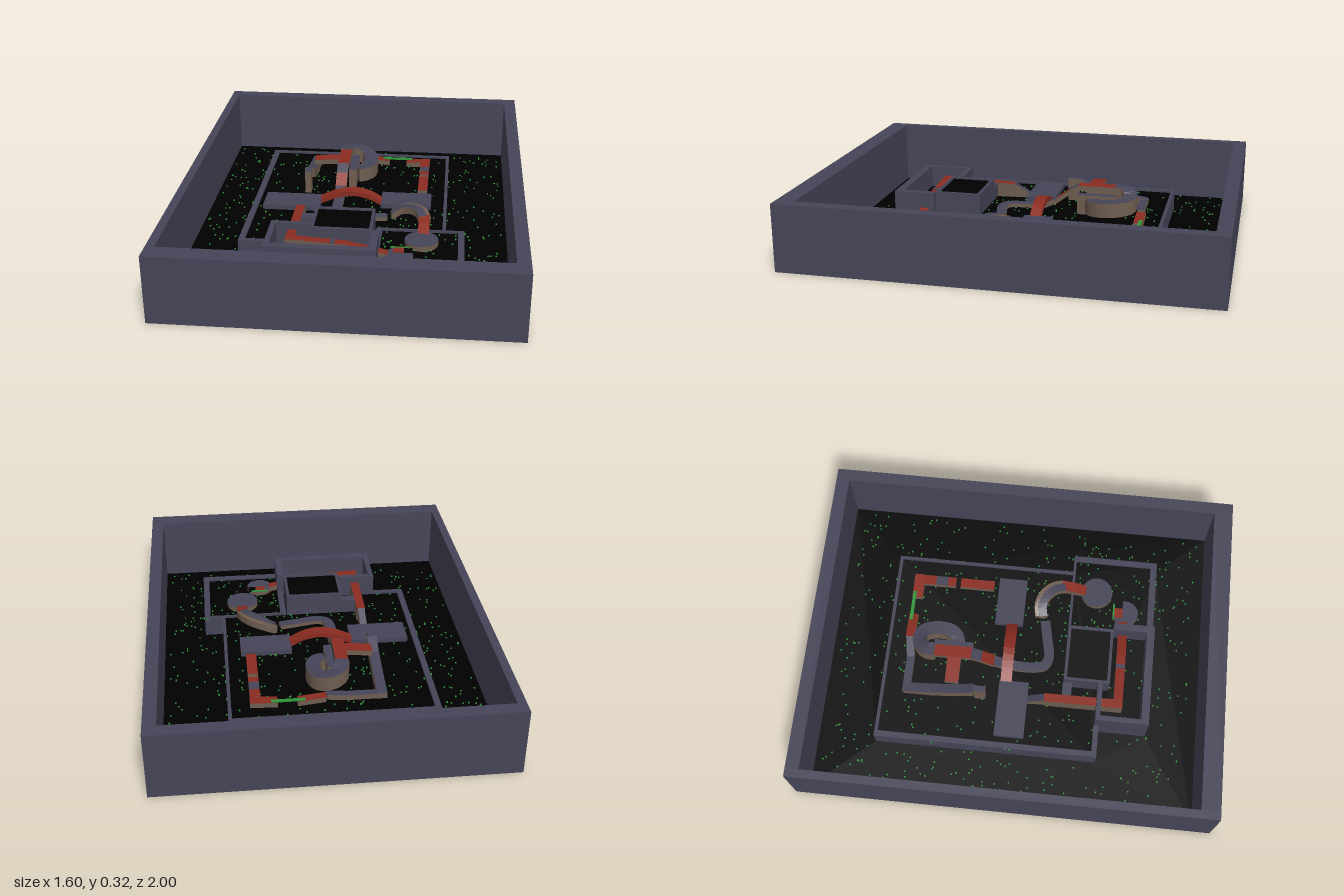
import * as THREE from 'three';
import { mergeGeometries } from 'three/addons/utils/BufferGeometryUtils.js';

const mat = (name, color, side = THREE.FrontSide) => {
  const m = new THREE.MeshStandardMaterial({ color, side });
  m.name = name;
  return m;
};

export function createModel() {
  const stone = mat('slate stone', 0x464558);
  const red = mat('red walkway', 0x8a2c20);
  const brown = mat('brown earth', 0x6f5d50);
  const black = mat('black ground', 0x000000, THREE.DoubleSide);
  const green = mat('green speckle', 0x2f963a);
  const model = new THREE.Group();
  model.name = 'walledArena';

  const add = (name, geo, material) => {
    const mesh = new THREE.Mesh(geo, material);
    mesh.name = name;
    model.add(mesh);
    return mesh;
  };
  // Box given by its limits on each axis
  const block = (name, x0, x1, y0, y1, z0, z1, material = stone) =>
    add(name, new THREE.BoxGeometry(x1 - x0, y1 - y0, z1 - z0), material)
      .position.set((x0 + x1) / 2, (y0 + y1) / 2, (z0 + z1) / 2);

  // Walkway swept along [x, top y, z] points; base is a fixed level or follows the top
  const walkway = (name, pts, width, topMat, { base = null, thick = 0.025, steps = 0, sideMat = brown } = {}) => {
    let path = pts.map(p => new THREE.Vector3(...p));
    if (steps) path = new THREE.CatmullRomCurve3(path).getPoints(steps);
    const rings = path.map((p, i) => {
      const d = path[Math.min(i + 1, path.length - 1)].clone().sub(path[Math.max(i - 1, 0)]).setY(0).normalize();
      const n = new THREE.Vector3(-d.z, 0, d.x).multiplyScalar(width / 2);
      const tl = p.clone().sub(n), tr = p.clone().add(n);
      const low = base === null ? Math.max(p.y - thick, 0.101) : base;
      return [tl, tr, tr.clone().setY(low), tl.clone().setY(low)];
    });
    const pos = [];
    const quad = (a, b, c, d) => [a, b, c, a, c, d].forEach(v => pos.push(v.x, v.y, v.z));
    const strip = k => {
      for (let i = 0; i < rings.length - 1; i++) {
        const a = rings[i], b = rings[i + 1], m = (k + 1) % 4;
        quad(a[k], a[m], b[m], b[k]);
      }
    };
    strip(0);
    const split = pos.length / 3;
    [1, 2, 3].forEach(strip);
    const s = rings[0], e = rings[rings.length - 1];
    quad(s[0], s[3], s[2], s[1]);
    quad(e[0], e[1], e[2], e[3]);
    const geo = new THREE.BufferGeometry();
    geo.setAttribute('position', new THREE.Float32BufferAttribute(pos, 3));
    geo.addGroup(0, split, 0);
    geo.addGroup(split, pos.length / 3 - split, 1);
    geo.computeVertexNormals();
    add(name, geo, [topMat, sideMat]);
  };

  // Tall outer walls
  block('outerWallLeftEdge', -0.8, -0.76, 0, 0.32, -1, 1);
  block('outerWallRightEdge', 0.74, 0.8, 0, 0.32, -1, 1);
  block('outerWallBack', -0.76, 0.74, 0, 0.32, -1, -0.935);
  block('outerWallFront', -0.76, 0.74, 0, 0.32, 0.91, 1);

  // Outer ground with an opening, and the raised ground inside the rooms
  const outline = [[-0.51, -0.65], [0.44, -0.65], [0.44, 0.24], [0.53, 0.24],
    [0.53, 0.66], [-0.35, 0.66], [-0.35, 0.42], [-0.51, 0.42]].map(([x, z]) => new THREE.Vector2(x, -z));
  const yard = new THREE.Shape([[-0.76, -0.91], [0.74, -0.91], [0.74, 0.935], [-0.76, 0.935]]
    .map(p => new THREE.Vector2(...p)));
  yard.holes.push(new THREE.Path(outline));
  const flat = (shape, y) => new THREE.ShapeGeometry(shape).rotateX(-Math.PI / 2).translate(0, y, 0);
  add('outerGround', flat(yard, 0.006), black);
  add('roomGround', flat(new THREE.Shape(outline), 0.1), black);

  // Low room walls
  const low = 0.11, high = 0.21;
  block('courtWallLeft', -0.512, -0.484, 0, low, -0.652, 0.427);
  block('courtWallBack', -0.484, 0.43, 0, low, -0.652, -0.636);
  block('courtWallRight', 0.43, 0.446, 0, low, -0.652, 0.237);
  block('courtWallFront', -0.484, -0.355, 0, low, 0.402, 0.427);
  block('rightRoomBack', 0.145, 0.535, 0, low, 0.237, 0.25);
  block('rightRoomSide', 0.505, 0.535, 0, low, 0.25, 0.66);
  block('rightRoomFront', 0.148, 0.505, 0, low, 0.628, 0.66);
  block('rightRoomDividerBack', 0.118, 0.148, 0, low, 0.237, 0.46);
  block('rightRoomDividerFront', 0.113, 0.148, 0, high, 0.46, 0.622);

  // Higher front room
  block('frontRoomSide', -0.355, -0.33, 0, high, 0.427, 0.66);
  block('frontRoomFront', -0.33, 0.148, 0, high, 0.622, 0.66);
  block('frontRoomBack', -0.355, -0.17, 0.1, high, 0.404, 0.427);

  // Raised box with a dark top inside a narrow rim
  block('boxBody', -0.168, 0.114, 0.094, 0.196, 0.237, 0.46);
  block('boxTop', -0.154, 0.1, 0.196, 0.202, 0.252, 0.446, black);
  block('boxRimLeft', -0.168, -0.154, 0.196, high, 0.237, 0.46);
  block('boxRimRight', 0.1, 0.114, 0.196, high, 0.237, 0.46);
  block('boxRimBack', -0.154, 0.1, 0.196, high, 0.237, 0.252);
  block('boxRimFront', -0.154, 0.1, 0.196, high, 0.446, 0.46);
  block('boxStep', -0.24, -0.168, 0.101, 0.17, 0.235, 0.28);

  // Platforms and drums
  block('leftPlatform', -0.455, -0.175, 0.101, 0.125, -0.075, 0.07);
  block('rightPlatform', 0.12, 0.367, 0.101, 0.125, -0.13, 0.01);
  [['largeDrum', 0.337, 0.365, 0.078, 0.125], ['smallDrum', 0.24, 0.515, 0.064, 0.122]].forEach(([name, x, z, r, top]) =>
    add(name, new THREE.CylinderGeometry(r, r, 0.06, 24), [brown, stone, brown]).position.set(x, top - 0.03, z));
  block('smallDrumRedPatch', 0.212, 0.262, 0.122, 0.127, 0.46, 0.5, red);
  block('smallDrumNotch', 0.262, 0.3, 0.121, 0.125, 0.455, 0.5, black);
  block('smallDrumGreenEdge', 0.2, 0.285, 0.122, 0.128, 0.452, 0.46, green);

  // Arched bridge between the platforms
  walkway('archBridge', [[-0.18, 0.125, -0.043], [-0.1, 0.16, -0.043], [-0.02, 0.175, -0.043],
    [0.06, 0.16, -0.043], [0.125, 0.125, -0.043]], 0.055, red, { steps: 10, sideMat: red });

  // Looping ramp, its crest and the long descent to the court
  walkway('loopRamp', [[-0.087, 0.238, -0.4], [-0.08, 0.235, -0.45], [-0.04, 0.22, -0.482], [0.015, 0.205, -0.47],
    [0.042, 0.195, -0.41], [0.038, 0.19, -0.34], [0.012, 0.187, -0.305], [-0.018, 0.185, -0.295]], 0.066, stone, { thick: 0.07, steps: 28 });
  walkway('crestWalkway', [[-0.088, 0.235, -0.4], [-0.088, 0.235, -0.22]], 0.058, red);
  walkway('crestButtress', [[-0.04, 0.2, -0.41], [-0.04, 0.2, -0.22]], 0.038, stone, { base: 0.101 });
  walkway('crestBranch', [[-0.24, 0.225, -0.3], [-0.117, 0.235, -0.3]], 0.065, red);
  walkway('descentTop', [[-0.088, 0.235, -0.22], [-0.088, 0.205, -0.17]], 0.055, stone);
  walkway('descentMiddle', [[-0.088, 0.205, -0.17], [-0.088, 0.16, -0.11]], 0.055, red);
  walkway('descentCurve', [[-0.088, 0.16, -0.11], [-0.09, 0.125, -0.03], [-0.09, 0.12, 0.08], [-0.075, 0.12, 0.135],
    [-0.03, 0.12, 0.155], [0.06, 0.12, 0.14], [0.16, 0.12, 0.12]], 0.048, stone, { steps: 24 });

  // Left ramp rising to a ledge, and the ring path round the back
  walkway('leftRamp', [[-0.258, 0.13, -0.54], [-0.258, 0.15, -0.4], [-0.258, 0.18, -0.27], [-0.258, 0.215, -0.19]], 0.046, stone, { thick: 0.05 });
  walkway('leftLedge', [[-0.258, 0.215, -0.19], [-0.258, 0.215, -0.135]], 0.03, stone, { base: 0.101 });
  walkway('backPath', [[-0.275, 0.13, -0.525], [-0.1, 0.13, -0.525], [0, 0.15, -0.54]], 0.038, stone);
  walkway('backRedPath', [[0, 0.14, -0.54], [0.13, 0.125, -0.54]], 0.045, red);
  block('backGreenStrip', 0.095, 0.25, 0.125, 0.132, -0.558, -0.542, green);
  walkway('cornerRedPath', [[0.22, 0.125, -0.535], [0.345, 0.13, -0.535]], 0.052, red);
  [['sideRedPathA', -0.51, -0.45, red], ['sideStonePath', -0.45, -0.39, stone], ['sideRedPathB', -0.39, -0.35, red],
    ['sideRedPathC', -0.325, -0.155, red]].forEach(([name, z0, z1, m]) =>
    walkway(name, [[0.32, 0.13, z0], [0.32, 0.13, z1]], 0.048, m));

  // Curved arch down to the large drum, with an earthen outer shoulder
  walkway('drumArchStart', [[0.18, 0.13, 0.108], [0.23, 0.16, 0.1], [0.284, 0.175, 0.124], [0.318, 0.175, 0.16],
    [0.335, 0.165, 0.205]], 0.04, stone, { steps: 12, thick: 0.035 });
  walkway('drumArchShoulder', [[0.18, 0.125, 0.078], [0.235, 0.155, 0.069], [0.302, 0.17, 0.096], [0.344, 0.17, 0.145],
    [0.363, 0.16, 0.2]], 0.02, brown, { steps: 12, thick: 0.035 });
  walkway('drumArchEnd', [[0.342, 0.165, 0.19], [0.343, 0.15, 0.25], [0.343, 0.125, 0.31]], 0.052, red, { thick: 0.035 });

  // Path from the left platform into the front room
  walkway('frontPathStart', [[-0.258, 0.125, 0.07], [-0.255, 0.17, 0.15]], 0.034, stone, { base: 0.085 });
  walkway('frontPathSide', [[-0.255, 0.17, 0.15], [-0.255, 0.18, 0.53]], 0.042, red, { base: 0.085 });
  walkway('frontPathAcross', [[-0.235, 0.18, 0.508], [0.0, 0.165, 0.508], [0.19, 0.126, 0.508]], 0.044, red);
  block('frontPathJoint', -0.07, -0.05, 0.166, 0.174, 0.486, 0.53, stone);

  // Tiny moss specks set through the ground, seen from both sides
  let seed = 7;
  const rand = () => (seed = (seed * 16807) % 2147483647) / 2147483647;
  const specks = [];
  for (let i = 0; i < 600; i++) {
    const x = -0.74 + rand() * 1.46, z = -0.9 + rand() * 1.78;
    const inside = (x > -0.52 && x < 0.45 && z > -0.66 && z < 0.43) || (x > -0.36 && x < 0.54 && z > 0.23 && z < 0.67);
    specks.push(new THREE.BoxGeometry(0.007, 0.009, 0.007).translate(x, inside ? 0.1 : 0.006, z));
  }
  add('mossSpecks', mergeGeometries(specks), green);

  return model;
}
